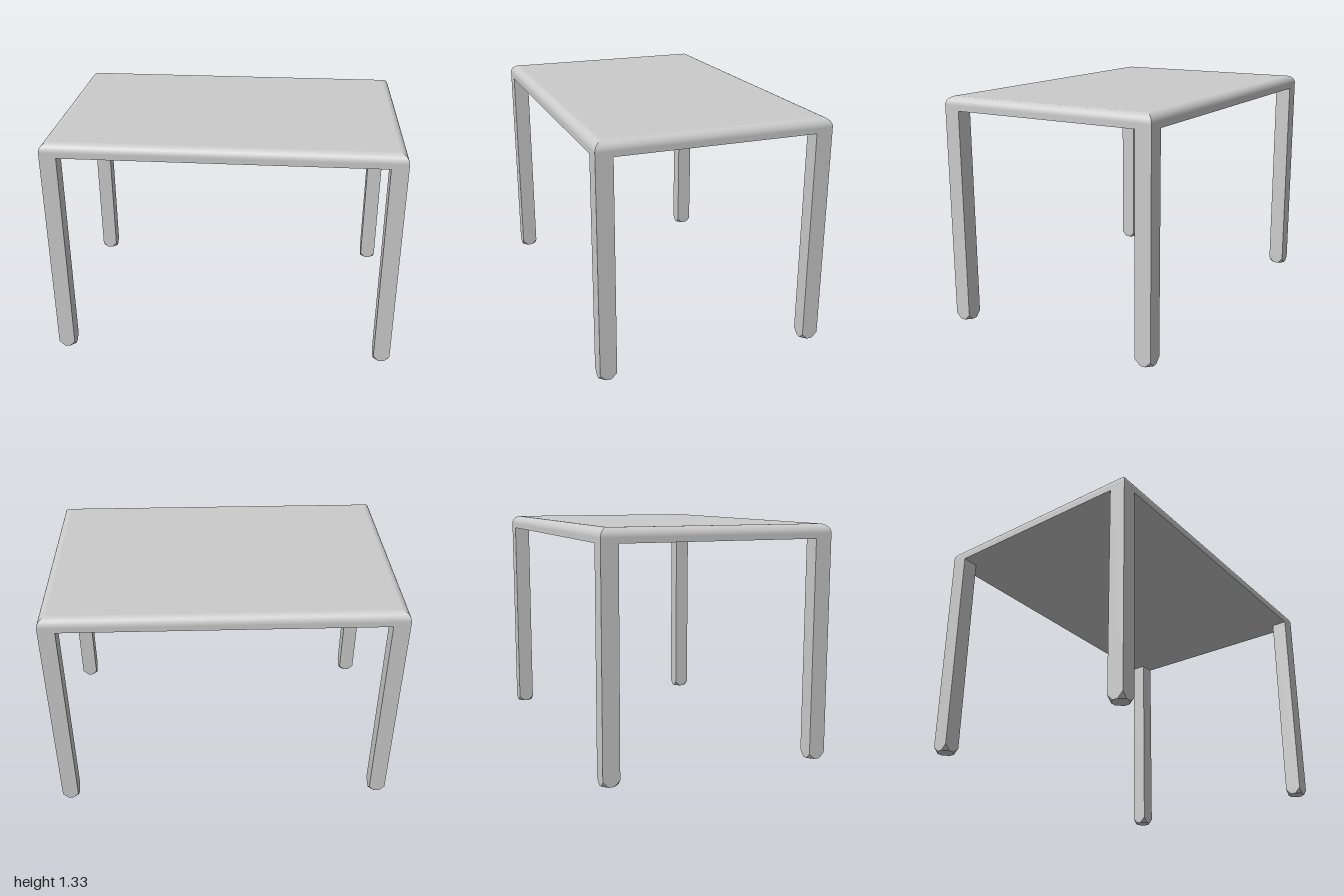
import * as THREE from 'three';
import { ConvexGeometry } from 'three/addons/geometries/ConvexGeometry.js';

const HX = 1, HZ = 0.664, TOP = 1.33, UNDER = 1.25; // half sizes and heights
const R = 0.05;    // rounding of the upper edges
const LEG = 0.095; // leg width
const CUT = 0.032; // cut at the feet corners

// Slab with rounded upper edges that meet in crisp mitres
function slabGeometry() {
  const pos = [], nor = [], idx = [];
  const add = (x, y, z, nx, ny, nz) => {
    pos.push(x, y, z);
    nor.push(nx, ny, nz);
    return pos.length / 3 - 1;
  };
  const quad = (a, b, c, d) => idx.push(a, b, c, a, c, d);

  // profile: inset, height, outward and upward parts of the normal
  const profile = [[0, UNDER, 1, 0]];
  const steps = 12;
  for (let i = 0; i <= steps; i++) {
    const a = (i / steps) * Math.PI / 2, c = Math.cos(a), s = Math.sin(a);
    profile.push([R * (1 - c), TOP - R + R * s, c, s]);
  }

  // four sides, each sweeping the profile between two mitres
  for (const [nx, nz] of [[0, 1], [1, 0], [0, -1], [-1, 0]]) {
    const out = nx ? HX : HZ, along = nx ? HZ : HX;
    let prev = null;
    for (const [inset, y, no, nu] of profile) {
      const o = out - inset, t = along - inset;
      const row = [-t, t].map(s => add(nx * o + nz * s, y, nz * o - nx * s, nx * no, nu, nz * no));
      if (prev) quad(prev[0], prev[1], row[1], row[0]);
      prev = row;
    }
  }

  // flat top and underside
  const corners = [[-1, 1], [1, 1], [1, -1], [-1, -1]];
  quad(...corners.map(([x, z]) => add(x * (HX - R), TOP, z * (HZ - R), 0, 1, 0)));
  quad(...corners.map(([x, z]) => add(x * HX, UNDER, z * HZ, 0, -1, 0)).reverse());

  const g = new THREE.BufferGeometry();
  g.setAttribute('position', new THREE.Float32BufferAttribute(pos, 3));
  g.setAttribute('normal', new THREE.Float32BufferAttribute(nor, 3));
  g.setIndex(idx);
  return g;
}

// Square leg whose four bottom corners are cut off diagonally
function legGeometry() {
  const h = LEG / 2, pts = [];
  for (const sx of [-1, 1]) for (const sz of [-1, 1]) {
    pts.push(
      new THREE.Vector3(sx * h, UNDER, sz * h),
      new THREE.Vector3(sx * h, CUT, sz * h),
      new THREE.Vector3(sx * (h - CUT), 0, sz * h),
      new THREE.Vector3(sx * h, 0, sz * (h - CUT))
    );
  }
  return new ConvexGeometry(pts);
}

export function createModel() {
  const group = new THREE.Group();
  group.name = 'table';
  const material = new THREE.MeshStandardMaterial({ color: 0xcccccc });

  const top = new THREE.Mesh(slabGeometry(), material);
  top.name = 'tableTop';
  group.add(top);

  // legs flush with the outer corners
  const legGeo = legGeometry();
  for (const sx of [-1, 1]) for (const sz of [-1, 1]) {
    const leg = new THREE.Mesh(legGeo, material);
    leg.name = (sz > 0 ? 'front' : 'back') + (sx > 0 ? 'Left' : 'Right') + 'Leg';
    leg.position.set(sx * (HX - LEG / 2), 0, sz * (HZ - LEG / 2));
    group.add(leg);
  }
  return group;
}
